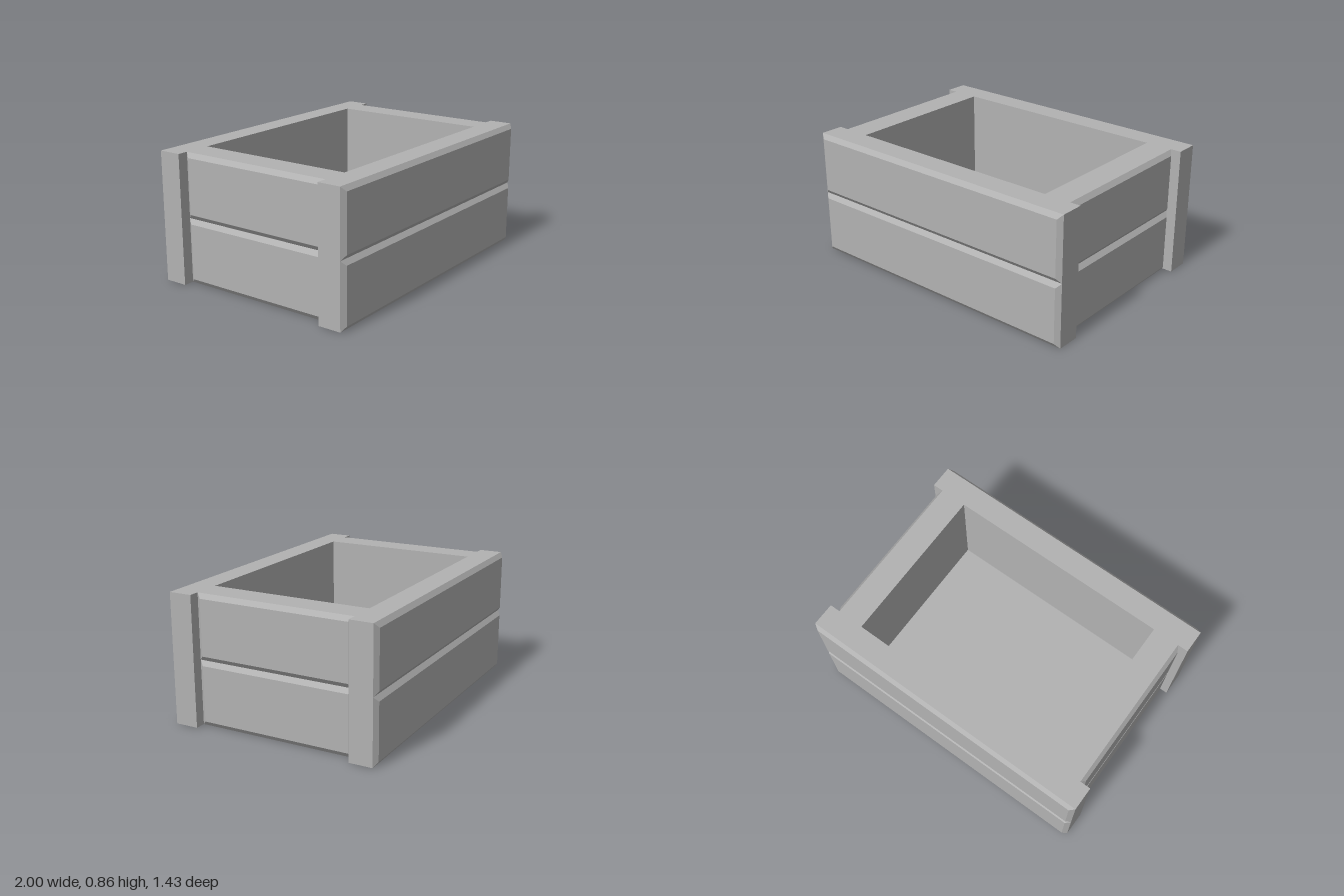
import * as THREE from 'three';

const H = 0.857;       // overall height
const FLOOR = 0.18;    // floor thickness
const POST_X = 1, SIDE_X = 0.929, BODY_Z = 0.691, POST_Z = 0.537;
const HOLE_X = 0.75, HOLE_Z = 0.537;
const BEVEL = 0.031, PROUD = 0.023;

// Outline of the crate seen from above, with the side walls set back between the corner posts
function crateOutline() {
  const half = [[POST_X, -BODY_Z], [POST_X, -POST_Z], [SIDE_X, -POST_Z],
    [SIDE_X, POST_Z], [POST_X, POST_Z], [POST_X, BODY_Z]];
  const points = [...half, ...half.map(([x, z]) => [-x, -z])];
  return new THREE.Shape(points.map(([x, z]) => new THREE.Vector2(x, z)));
}

function extrudeUp(shape, from, to) {
  const geo = new THREE.ExtrudeGeometry(shape, { depth: to - from, bevelEnabled: false });
  return geo.rotateX(-Math.PI / 2).translate(0, from, 0);
}

// Raised board: a thin box whose outer face is drawn in to form chamfers
function boardGeometry(width, height) {
  const geo = new THREE.BoxGeometry(width, height, PROUD).translate(0, 0, PROUD / 2);
  const p = geo.attributes.position;
  for (let i = 0; i < p.count; i++) {
    if (p.getZ(i) > PROUD / 2) {
      p.setX(i, p.getX(i) - Math.sign(p.getX(i)) * BEVEL);
      p.setY(i, p.getY(i) - Math.sign(p.getY(i)) * BEVEL);
    }
  }
  geo.computeVertexNormals();
  return geo;
}

export function createModel() {
  const group = new THREE.Group();
  const grey = new THREE.MeshStandardMaterial({ color: 0xb2b2b2 });
  grey.name = 'grey';

  const add = (name, geo) => {
    const mesh = new THREE.Mesh(geo, grey);
    mesh.name = name;
    group.add(mesh);
    return mesh;
  };

  // Floor and hollow walls
  add('floor', extrudeUp(crateOutline(), 0, FLOOR));
  const ring = crateOutline();
  ring.holes.push(new THREE.Path([[-HOLE_X, -HOLE_Z], [-HOLE_X, HOLE_Z], [HOLE_X, HOLE_Z], [HOLE_X, -HOLE_Z]]
    .map(([x, z]) => new THREE.Vector2(x, z))));
  add('walls', extrudeUp(ring, FLOOR, H));

  // Two chamfered boards on each of the four sides
  const longBoard = boardGeometry(2 * POST_X, H / 2);
  const shortBoard = boardGeometry(2 * POST_Z, H / 2);
  ['front', 'left', 'back', 'right'].forEach((side, i) => {
    const angle = i * Math.PI / 2;
    const isLong = i % 2 === 0;
    const dist = isLong ? BODY_Z : SIDE_X;
    ['Lower', 'Upper'].forEach((row, j) => {
      const board = add(`${side}${row}Board`, isLong ? longBoard : shortBoard);
      board.rotation.y = angle;
      board.position.set(Math.sin(angle) * dist, H * (0.25 + 0.5 * j), Math.cos(angle) * dist);
    });
  });

  return group;
}
